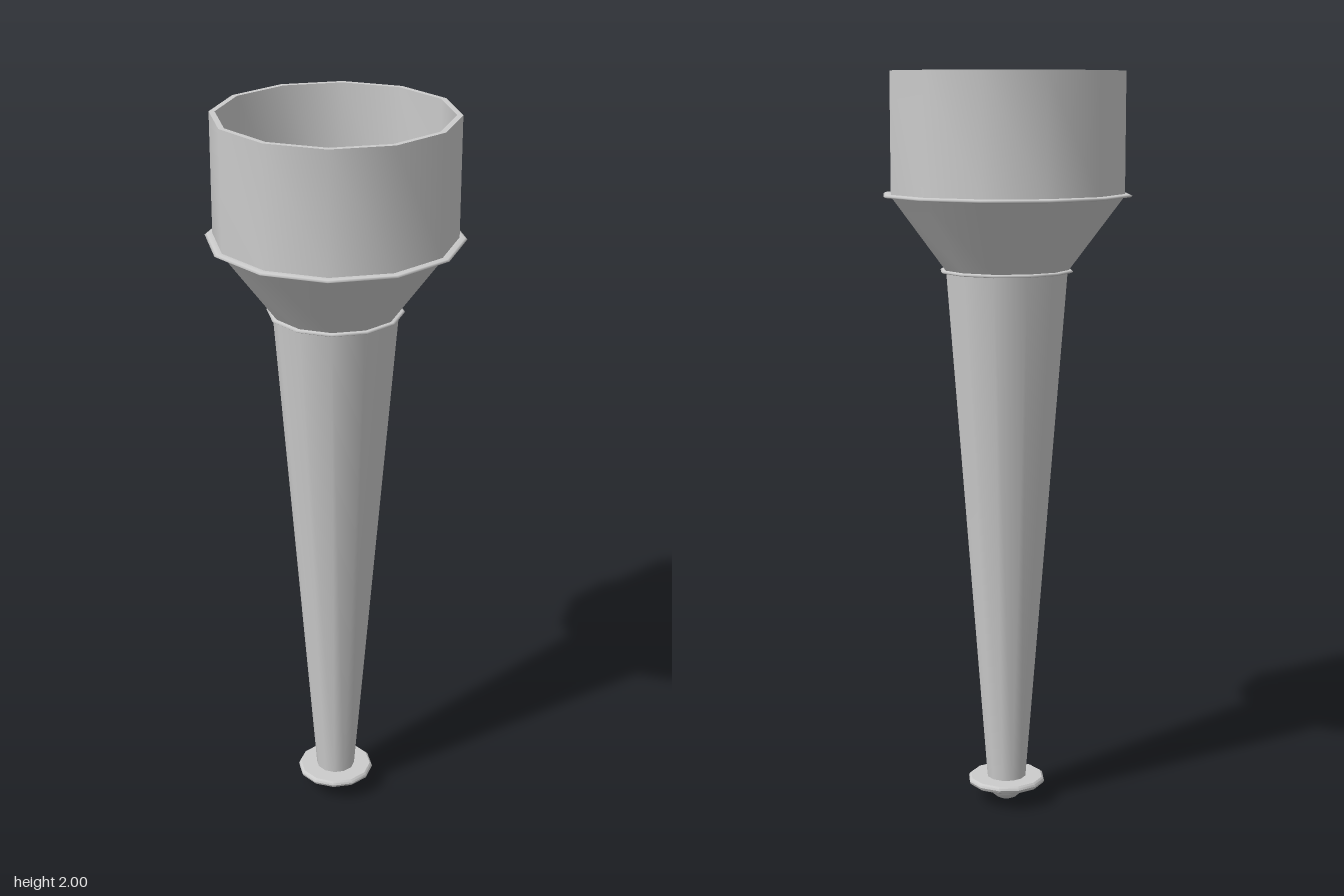
import * as THREE from 'three';
import { toCreasedNormals } from 'three/addons/utils/BufferGeometryUtils.js';

const SIDES = 12;

export function createModel() {
  const group = new THREE.Group();
  const material = new THREE.MeshStandardMaterial({ color: 0xcccccc, side: THREE.DoubleSide });

  const add = (name, geometry) => {
    const mesh = new THREE.Mesh(geometry, material);
    mesh.name = name;
    group.add(mesh);
    return mesh;
  };

  // Turned part from [radius, height] pairs, smooth around and sharp at the rims
  const turned = (name, profile) => {
    const points = profile.map(([r, y]) => new THREE.Vector2(r, y));
    return add(name, toCreasedNormals(new THREE.LatheGeometry(points, SIDES), 0.62));
  };

  // Thin rounded band; inner and outer are corner radii
  const band = (name, inner, outer, y, halfHeight) => {
    const mid = (inner + outer) / 2, half = (outer - inner) / 2;
    const points = [];
    for (let i = 0; i <= 8; i++) {
      const a = -Math.PI / 2 + (i / 8) * Math.PI * 2;
      points.push(new THREE.Vector2(mid + half * Math.cos(a), y + halfHeight * Math.sin(a)));
    }
    return add(name, new THREE.LatheGeometry(points, SIDES));
  };

  // Tapered handle
  turned('handle', [[0, 0.055], [0.053, 0.055], [0.165, 1.48], [0, 1.48]]);

  // Flared collar between handle and cup
  turned('collar', [[0.165, 1.48], [0.315, 1.68]]);

  // Open cup with wall thickness and a flat floor
  turned('cup', [[0.315, 1.68], [0.315, 2], [0.3, 2], [0.3, 1.68], [0, 1.68]]);

  // Bands at the joints
  band('upperBand', 0.295, 0.335, 1.68, 0.005);
  band('lowerBand', 0.145, 0.18, 1.48, 0.005);

  // Foot disc with a softly rounded edge
  turned('footDisc', [
    [0, 0.049], [0.1, 0.049], [0.105, 0.053], [0.107, 0.059],
    [0.105, 0.065], [0.1, 0.069], [0, 0.069],
  ]);

  // Rounded end knob
  const knob = add('endKnob', new THREE.SphereGeometry(0.053, SIDES, 10));
  knob.position.y = 0.053;

  return group;
}
